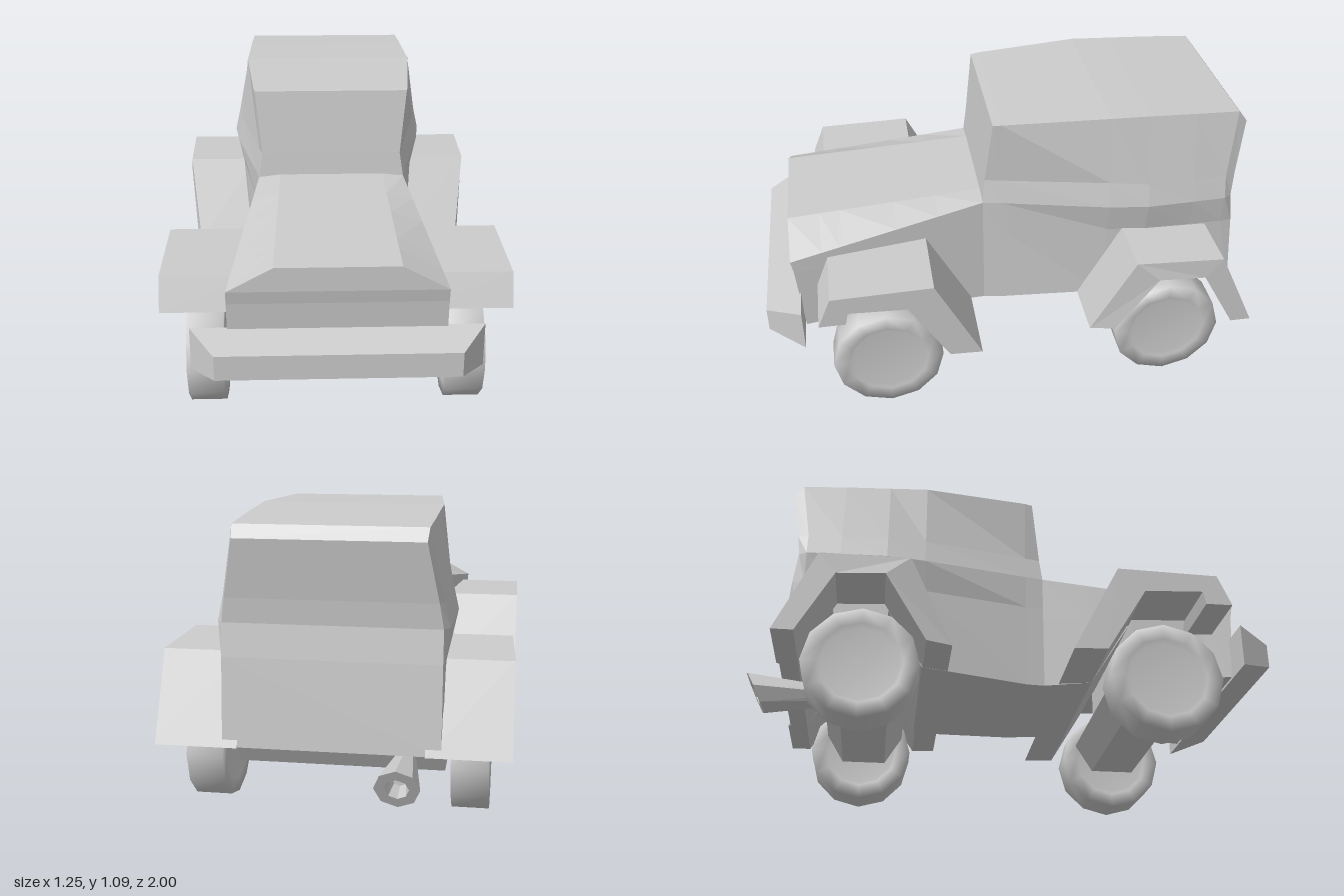
import * as THREE from 'three';

const grey = new THREE.MeshStandardMaterial({ color: 0xcccccc, flatShading: true });
const smooth = new THREE.MeshStandardMaterial({ color: 0xcccccc });

// Skins symmetric cross-sections, given front to back as [z, [x, y, dz] points from top to bottom]
function loft(sections) {
  const n = sections[0][1].length, ring = 2 * n, pos = [], idx = [];
  for (const [z, pts] of sections) {
    for (const [x, y, dz = 0] of pts) pos.push(x, y, z + dz);
    for (const [x, y, dz = 0] of [...pts].reverse()) pos.push(-x, y, z + dz);
  }
  for (let i = 0; i < sections.length - 1; i++) {
    for (let j = 0; j < ring; j++) {
      const a = i * ring + j, b = i * ring + (j + 1) % ring;
      idx.push(a, b, b + ring, a, b + ring, a + ring);
    }
  }
  const last = (sections.length - 1) * ring;
  for (let k = 0; k < n - 1; k++) {
    const r = k, l = ring - 1 - k;
    idx.push(r, l, l - 1, r, l - 1, r + 1);
    idx.push(last + r, last + l - 1, last + l, last + r, last + r + 1, last + l - 1);
  }
  const g = new THREE.BufferGeometry();
  g.setAttribute('position', new THREE.Float32BufferAttribute(pos, 3));
  g.setIndex(idx);
  g.computeVertexNormals();
  return g;
}

// Extrudes a (z, y) outline sideways from x0 to x1
function sideExtrude(points, x0, x1) {
  const shape = new THREE.Shape(points.map(([z, y]) => new THREE.Vector2(z, y)));
  const g = new THREE.ExtrudeGeometry(shape, { depth: x1 - x0, bevelEnabled: false });
  return g.rotateY(-Math.PI / 2).translate(x1, 0, 0);
}

// Moves every vertex by a rule
function reshape(g, rule) {
  const p = g.attributes.position, v = new THREE.Vector3();
  for (let i = 0; i < p.count; i++) {
    rule(v.fromBufferAttribute(p, i));
    p.setXYZ(i, v.x, v.y, v.z);
  }
  g.computeVertexNormals();
  return g;
}

export function createModel() {
  const model = new THREE.Group();
  const add = (name, geometry, material = grey) => {
    const m = new THREE.Mesh(geometry, material);
    m.name = name;
    model.add(m);
    return m;
  };

  // Hood and nose: tapers towards the cabin, with the wheel arch cut into the lower edge
  const mix = THREE.MathUtils.lerp;
  const hoodSection = ([z, bottom]) => {
    const t = (0.89 - z) / 0.75, lean = z > 0.8 ? -0.03 : 0;
    const side = mix(0.385, 0.29, t);
    return [z, [
      [mix(0.22, 0.205, t), mix(0.70, 0.745, t)],
      [side, mix(0.61, 0.735, t)],
      [side, 0.56, lean * 0.3],
      [side, bottom, lean],
    ]];
  };
  add('hood', loft([
    [0.89, 0.30], [0.77, 0.30], [0.70, 0.485], [0.69, 0.535],
    [0.48, 0.53], [0.32, 0.28], [0.14, 0.267],
  ].map(hoodSection)));

  // Cabin: roof, window line, shoulder, sill and floor edge
  add('cabin', loft([
    [0.14, [[0.30, 1.08, -0.04], [0.275, 0.83, -0.01], [0.29, 0.735], [0.29, 0.6], [0.29, 0.267]]],
    [0.07, [[0.306, 1.083], [0.289, 0.83], [0.304, 0.735], [0.30, 0.6], [0.30, 0.265]]],
    [-0.34, [[0.345, 1.095], [0.375, 0.83], [0.395, 0.73], [0.37, 0.61], [0.36, 0.29]]],
    [-0.49, [[0.342, 1.09], [0.395, 0.82], [0.415, 0.73], [0.39, 0.61], [0.385, 0.535]]],
    [-0.67, [[0.34, 1.083], [0.392, 0.82], [0.41, 0.73], [0.39, 0.61], [0.385, 0.53]]],
    [-0.80, [[0.335, 1.075, -0.04], [0.385, 0.82], [0.405, 0.73], [0.39, 0.61], [0.385, 0.29]]],
    [-0.87, [[0.33, 1.03, -0.005], [0.37, 0.82, 0.03], [0.385, 0.73, 0.04], [0.385, 0.61, 0.025], [0.385, 0.29]]],
  ]));

  // Axle housings between the wheels
  const housing = [[0.69, 0.54], [0.67, 0.42], [0.71, 0.27], [0.64, 0.155],
    [0.46, 0.155], [0.39, 0.27], [0.475, 0.42], [0.475, 0.54]];
  add('frontAxleHousing', sideExtrude(housing, -0.385, 0.385));
  add('rearAxleHousing', sideExtrude(housing.map(([z, y]) => [-z, y]), -0.385, 0.385));

  // Fenders
  const frontFender = [[0.80, 0.485], [0.75, 0.605], [0.37, 0.613], [0.195, 0.275],
    [0.32, 0.28], [0.47, 0.525], [0.69, 0.535], [0.70, 0.485]];
  const rearFender = [[-0.24, 0.285], [-0.40, 0.613], [-0.735, 0.605], [-0.88, 0.29],
    [-0.80, 0.29], [-0.67, 0.525], [-0.49, 0.535], [-0.335, 0.29]];
  const taper = (v) => {
    if (Math.abs(v.x) > 0.5 && v.z > -0.45) v.x -= Math.sign(v.x) * 0.25 * (v.z + 0.45);
  };
  for (const [side, s] of [['left', 1], ['right', -1]]) {
    const span = (inner) => (s > 0 ? [inner, 0.627] : [-0.627, -inner]);
    add(side + 'FrontFender', sideExtrude(frontFender, ...span(0.29)));
    add(side + 'RearFender', reshape(sideExtrude(rearFender, ...span(0.33)), taper));
  }

  // Wheels: twelve-sided tyre with a shallow recessed disc
  const half = [[0, 0.055], [0.14, 0.055], [0.155, 0.0675], [0.213, 0.0675]];
  const profile = [...half.map(([r, y]) => [r, -y]), ...[...half].reverse()];
  const wheel = new THREE.LatheGeometry(profile.map(([r, y]) => new THREE.Vector2(r, y)), 12);
  wheel.rotateZ(-Math.PI / 2);
  for (const [end, z] of [['Front', 0.553], ['Rear', -0.565]]) {
    for (const [side, x] of [['left', 0.48], ['right', -0.48]]) {
      add(side + end + 'Wheel', wheel, smooth).position.set(x, 0.215, z);
    }
  }

  // Front bumper, narrowing forwards
  add('bumper', reshape(new THREE.BoxGeometry(1, 1, 1), (v) => {
    const front = v.z > 0;
    v.set(Math.sign(v.x) * (front ? 0.425 : 0.517),
      0.378 + Math.sign(v.y) * (front ? 0.047 : 0.082),
      front ? 1.0 : 0.865);
  }));

  // Flared tailpipe with a slanted, hollow mouth
  const pipe = new THREE.LatheGeometry(
    [[0, 0], [0.03, 0], [0.08, 0.357], [0.042, 0.357], [0.03, 0.25], [0, 0.25]]
      .map(([r, y]) => new THREE.Vector2(r, y)), 8);
  pipe.rotateX(-Math.PI / 2);
  add('tailpipe', reshape(pipe, (v) => {
    if (v.z < -0.3) v.z -= v.y * 0.5;
  })).position.set(-0.243, 0.202, -0.6);

  return model;
}
